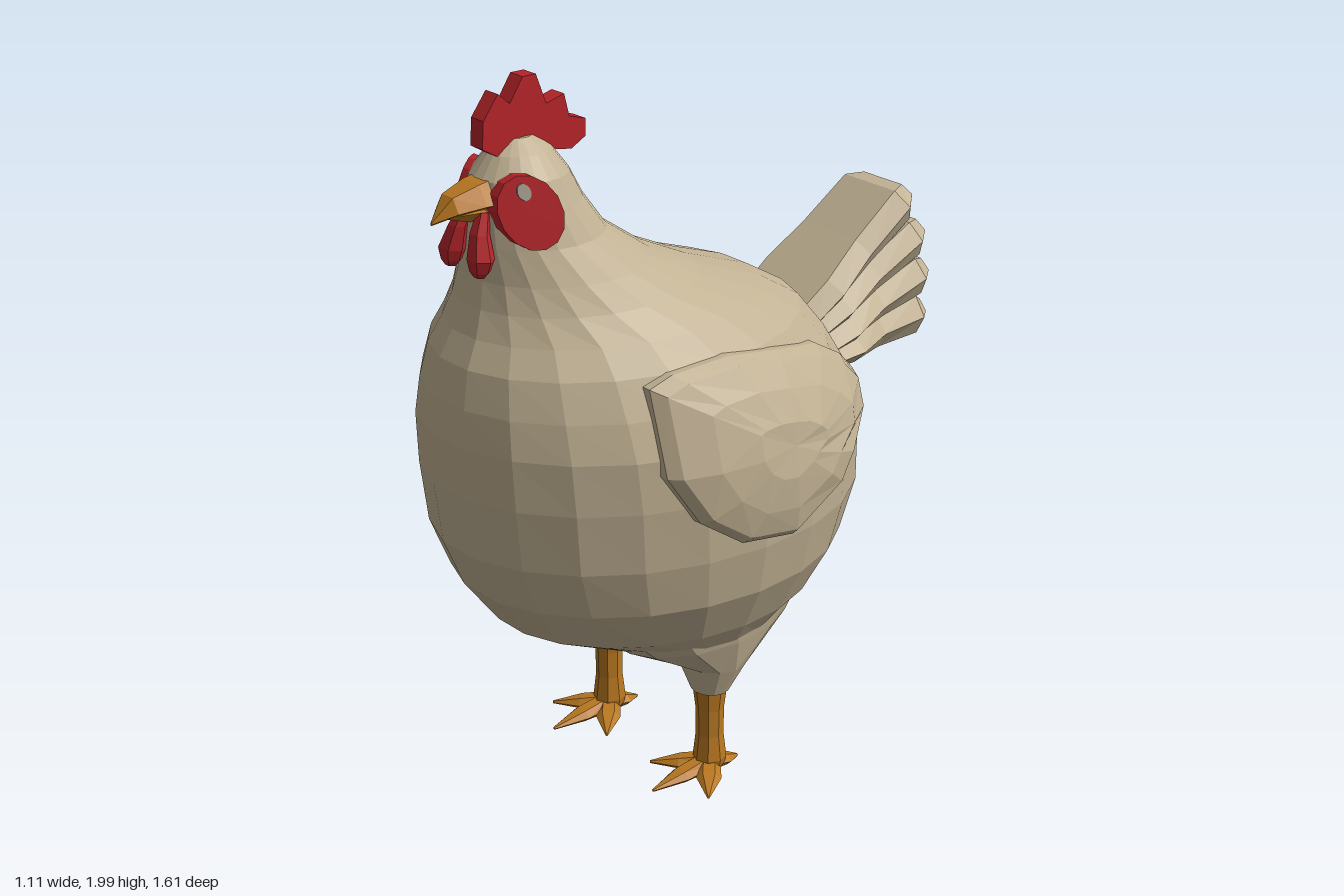
import * as THREE from 'three';

const paint = (name, color) => {
  const m = new THREE.MeshStandardMaterial({ color, flatShading: true });
  m.name = name;
  return m;
};

// Horizontal slices of the body: y, front z, back z, half width
const SLICES = [
  [0.37, 0.22, -0.02, 0.13], [0.44, 0.41, -0.2, 0.33], [0.52, 0.6, -0.35, 0.39],
  [0.65, 0.7, -0.43, 0.46], [0.79, 0.76, -0.48, 0.49], [0.96, 0.78, -0.475, 0.505],
  [1.1, 0.785, -0.43, 0.5], [1.2, 0.775, -0.37, 0.465], [1.3, 0.755, -0.29, 0.415],
  [1.37, 0.72, -0.17, 0.355], [1.44, 0.695, 0.03, 0.285], [1.51, 0.68, 0.18, 0.235],
  [1.6, 0.68, 0.31, 0.18], [1.69, 0.675, 0.375, 0.15], [1.76, 0.66, 0.41, 0.125],
  [1.815, 0.62, 0.45, 0.08], [1.85, 0.575, 0.5, 0.035],
];

// Half width of the body surface at a height and depth
function bodyX(y, z) {
  let i = 0;
  while (i < SLICES.length - 2 && SLICES[i + 1][0] < y) i++;
  const a = SLICES[i], b = SLICES[i + 1], t = (y - a[0]) / (b[0] - a[0]);
  const [, f, k, w] = a.map((v, j) => v + (b[j] - v) * t);
  const u = (z - (f + k) / 2) / ((f - k) / 2);
  return w * Math.sqrt(Math.max(0, 1 - u * u));
}

// Closed skin over a list of rings, turned so that it faces outward
function loft(name, rings, material) {
  const tris = [], n = rings[0].length;
  const mid = (r) => r.reduce((s, p) => s.add(p), new THREE.Vector3()).divideScalar(n);
  const first = rings[0], last = rings[rings.length - 1], c0 = mid(first), c1 = mid(last);
  for (let j = 0; j < n; j++) {
    const k = (j + 1) % n;
    for (let i = 0; i < rings.length - 1; i++) {
      const a = rings[i][j], b = rings[i][k], c = rings[i + 1][k], d = rings[i + 1][j];
      tris.push([a, b, c], [a, c, d]);
    }
    tris.push([c0, first[k], first[j]], [c1, last[j], last[k]]);
  }
  const volume = tris.reduce((s, [a, b, c]) => s + a.clone().sub(c0).dot(
    b.clone().sub(c0).cross(c.clone().sub(c0))), 0);
  const points = tris.flatMap((t) => (volume < 0 ? [t[0], t[2], t[1]] : t));
  const geometry = new THREE.BufferGeometry().setFromPoints(points);
  geometry.computeVertexNormals();
  const mesh = new THREE.Mesh(geometry, material);
  mesh.name = name;
  return mesh;
}

// Ring of points from a rule of cosine and sine
const ring = (n, rule) => Array.from({ length: n }, (_, i) => {
  const a = (i / n) * Math.PI * 2;
  return new THREE.Vector3(...rule(Math.cos(a), Math.sin(a)));
});
const flatRing = (n, x, y, z, rx, rz) => ring(n, (c, s) => [x + rx * c, y, z + rz * s]);

export function createModel() {
  const feather = paint('feather', 0xc2b294);
  const red = paint('comb red', 0xb52429);
  const orange = paint('beak orange', 0xb97820);
  const eyeGrey = paint('eye grey', 0xaaa294);
  const model = new THREE.Group();
  model.name = 'hen';

  // Body, neck and head in one skin
  model.add(loft('body', SLICES.map(([y, f, b, w]) =>
    flatRing(22, 0, y, (f + b) / 2, w, (f - b) / 2)), feather));

  // Comb
  const combShape = new THREE.Shape([
    [0.66, 1.84], [0.655, 1.91], [0.61, 1.97], [0.575, 1.94], [0.535, 2], [0.495, 2],
    [0.465, 1.92], [0.41, 1.935], [0.395, 1.875], [0.345, 1.86], [0.345, 1.815],
    [0.39, 1.79], [0.45, 1.8], [0.53, 1.83], [0.61, 1.81],
  ].map(([z, y]) => new THREE.Vector2(z, y)));
  const combGeometry = new THREE.ExtrudeGeometry(combShape, { depth: 0.05, bevelEnabled: false });
  combGeometry.translate(0, 0, -0.025).rotateY(-Math.PI / 2);
  const comb = new THREE.Mesh(combGeometry, red);
  comb.name = 'comb';
  model.add(comb);

  // Beak halves: z, middle y, half width, rise, drop
  const beak = (name, rows) => model.add(loft(name, rows.map(([z, y, w, up, down]) =>
    ring(6, (c, s) => [w * c, y + s * (s > 0 ? up : down), z])), orange));
  beak('upperBeak', [[0.63, 1.71, 0.072, 0.065, 0.02], [0.68, 1.71, 0.068, 0.055, 0.02],
    [0.75, 1.7, 0.046, 0.042, 0.015], [0.8, 1.675, 0.004, 0.004, 0.004]]);
  beak('lowerBeak', [[0.63, 1.69, 0.05, 0.01, 0.04], [0.7, 1.69, 0.042, 0.01, 0.03],
    [0.76, 1.685, 0.012, 0.005, 0.006]]);

  // Tail feathers fanned out one above the other: root z, y and tip z, y
  const tail = new THREE.Group();
  tail.name = 'tail';
  [[-0.32, 1.185, -0.72, 1.45], [-0.34, 1.15, -0.775, 1.335],
    [-0.36, 1.1, -0.795, 1.215], [-0.38, 1.07, -0.79, 1.095]].forEach(([z0, y0, z1, y1], i) => {
    const dir = new THREE.Vector2(z1 - z0, y1 - y0).normalize();
    const rows = [[0, 0.16 + i * 0.01, 0.045], [0.25, 0.165 + i * 0.008, 0.05],
      [0.55, 0.14, 0.056], [0.93, 0.132, 0.064], [1.02, 0.1, 0.035]];
    tail.add(loft('tailFeather', rows.map(([t, w, h]) => ring(6, (c, s) => [
      w * c * (Math.abs(c) < 0.9 ? 1.5 : 1),
      y0 + (y1 - y0) * t - dir.x * h * s,
      z0 + (z1 - z0) * t + dir.y * h * s,
    ])), feather));
  });
  model.add(tail);

  // Wing outline: z, y
  const wingOutline = [
    [0.455, 1.28], [0.39, 1.305], [0.22, 1.315], [0.06, 1.29], [-0.13, 1.245], [-0.26, 1.17],
    [-0.34, 1.1], [-0.34, 1.02], [-0.2, 0.955], [-0.13, 0.89], [0.07, 0.815], [0.24, 0.84],
    [0.365, 0.925], [0.45, 1.06],
  ];

  for (const side of [1, -1]) {
    const half = new THREE.Group();
    half.name = side > 0 ? 'leftSide' : 'rightSide';
    const add = (name, rings, material) => {
      rings.forEach((r) => r.forEach((p) => { p.x *= side; }));
      half.add(loft(name, rings, material));
    };

    // Wing hugging the body
    add('wing', [[1, -0.03], [1, 0.022], [0.92, 0.042], [0.65, 0.05], [0.3, 0.052]].map(([k, lift]) =>
      wingOutline.map(([z, y]) => {
        const pz = 0.1 + (z - 0.1) * k, py = 1.07 + (y - 1.07) * k;
        return new THREE.Vector3(bodyX(py, pz) + lift, py, pz);
      })), feather);

    // Cheek patch and eye on the slanted side of the head
    const disc = (y, z, ry, rz, lift, depth) => [lift - depth, lift].map((off) =>
      ring(14, (c, s) => [
        0.125 - 0.7 * (z + rz * c - 0.6) - 0.3 * (y + ry * s - 1.695) + off, y + ry * s, z + rz * c,
      ]));
    add('cheek', disc(1.695, 0.6, 0.09, 0.066, 0.01, 0.06), red);
    add('eye', disc(1.745, 0.607, 0.02, 0.014, 0.014, 0.008), eyeGrey);

    // Wattle
    add('wattle', [[1.69, 0.035, 0.67, 0.02], [1.64, 0.045, 0.69, 0.03],
      [1.58, 0.06, 0.7, 0.042], [1.55, 0.06, 0.703, 0.032], [1.535, 0.06, 0.705, 0.018]]
      .map(([y, x, z, r]) => flatRing(6, x, y, z, r, r * 0.75)), red);

    // Thigh
    add('thigh', [[0.54, 0.19, 0.12, 0.17, 0.36], [0.44, 0.2, 0.1, 0.138, 0.26],
      [0.34, 0.21, 0.085, 0.1, 0.088], [0.26, 0.22, 0.1, 0.055, 0.05]]
      .map(([y, x, z, rx, rz]) => flatRing(12, x, y, z, rx, rz)), feather);

    // Shank
    add('shank', [[0.27, 0.048], [0.2, 0.039], [0.12, 0.038], [0.05, 0.046], [0.025, 0.04]]
      .map(([y, r]) => flatRing(8, 0.22, y, 0.1, r, r)), orange);

    // Toes: angle from forward, length
    [[0, 0.2], [0.85, 0.165], [-0.85, 0.165], [Math.PI, 0.1]].forEach(([a, length]) => {
      const sx = Math.sin(a), sz = Math.cos(a);
      add('toe', [[0, 0.03, 0.03, 0.027], [0.5, 0.034, 0.023, 0.018], [1, 0.004, 0.012, 0.004]]
        .map(([t, w, y, h]) => ring(6, (c, s) => [
          0.22 + sx * length * t + sz * w * c, y + h * s, 0.1 + sz * length * t - sx * w * c,
        ])), orange);
    });
    model.add(half);
  }
  return model;
}
